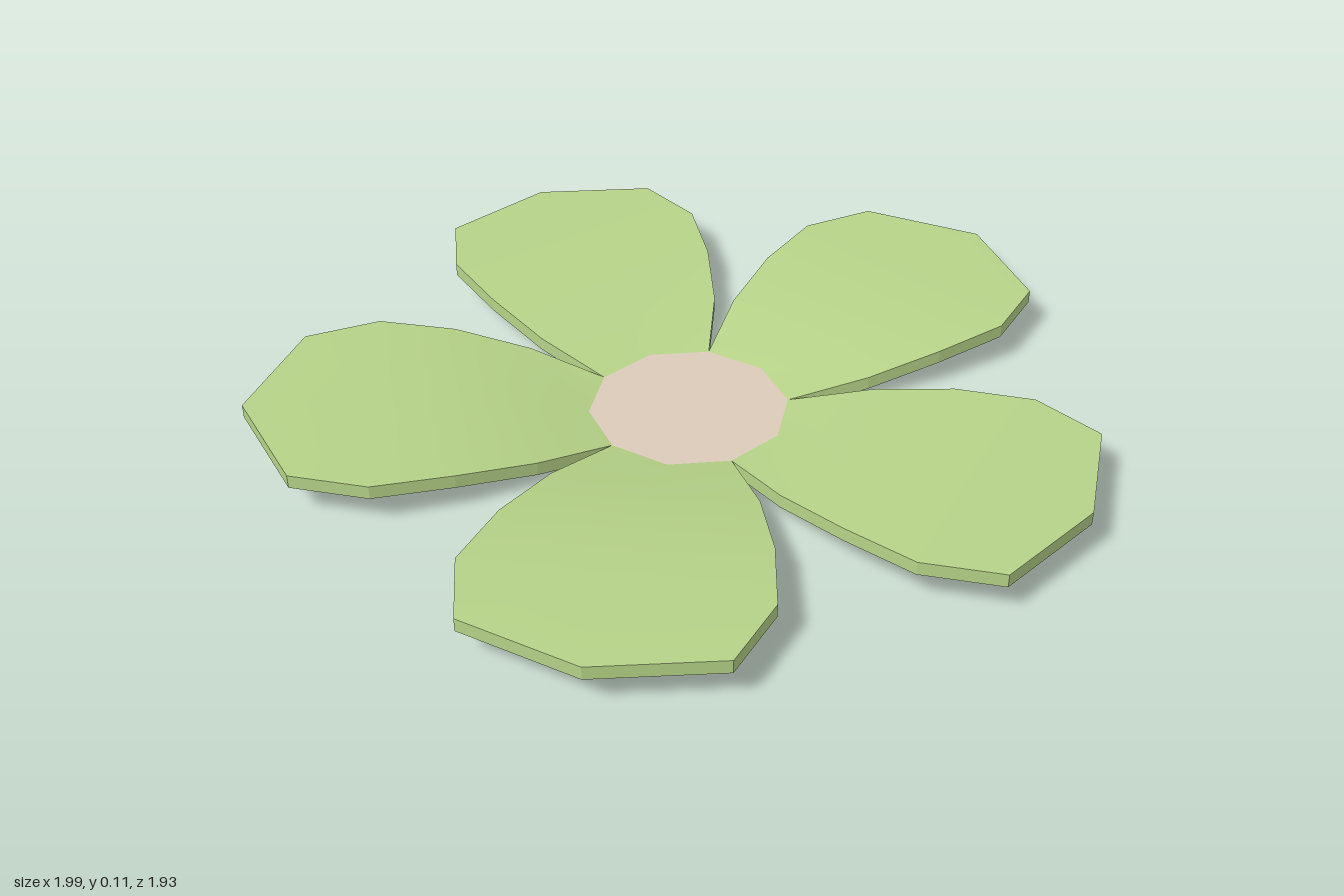
import * as THREE from 'three';

const THICK = 0.033;
// Petal stations: [edge distance, middle distance, half width, underside height]
const STATIONS = [
  [0.194, 0.24, 0.141, 0],
  [0.37, 0.38, 0.238, 0.034],
  [0.553, 0.555, 0.302, 0.061],
  [0.74, 0.75, 0.339, 0.073],
  [0.92, 1.02, 0.283, 0.075],
];

function geometryFrom(points, index) {
  const g = new THREE.BufferGeometry().setFromPoints(points);
  g.setIndex(index);
  return g;
}

// One petal pointing to -z: smooth upper and lower skins, faceted rim
function petal(tip, material) {
  const skin = (lift) => STATIONS.flatMap(([edge, mid, w, y], i) => {
    const m = i === STATIONS.length - 1 ? tip : mid;
    return [[-w, edge], [0, m], [w, edge]].map(([x, r]) => new THREE.Vector3(x, y + lift, -r));
  });
  const low = skin(0), high = skin(THICK);
  const up = [], down = [];
  for (let i = 0; i < STATIONS.length - 1; i++) {
    for (let j = 0; j < 2; j++) {
      const a = i * 3 + j, b = a + 1, c = a + 3, d = a + 4;
      up.push(a, b, d, a, d, c);
      down.push(a, d, b, a, c, d);
    }
  }

  // Rim runs out along the right edge, over the tip and back along the left
  const outline = [2, 5, 8, 11, 14, 13, 12, 9, 6, 3, 0];
  const rim = [];
  for (let k = 0; k < outline.length - 1; k++) {
    const p = outline[k], q = outline[k + 1];
    rim.push(low[p], low[q], high[q], low[p], high[q], high[p]);
  }

  const group = new THREE.Group();
  const parts = {
    petalTop: geometryFrom(high, up),
    petalUnderside: geometryFrom(low, down),
    petalRim: new THREE.BufferGeometry().setFromPoints(rim),
  };
  for (const [name, geometry] of Object.entries(parts)) {
    geometry.computeVertexNormals();
    const mesh = new THREE.Mesh(geometry, material);
    mesh.name = name;
    group.add(mesh);
  }
  return group;
}

export function createModel() {
  const model = new THREE.Group();
  model.name = 'flower';
  const green = new THREE.MeshStandardMaterial({ color: 0xb6d388 });
  const beige = new THREE.MeshStandardMaterial({ color: 0xdccbb9, flatShading: true });
  const centreZ = 0.05;

  // Ten-sided flower centre
  const centre = new THREE.Mesh(new THREE.CylinderGeometry(0.24, 0.24, THICK, 10), beige);
  centre.name = 'flowerCentre';
  centre.position.set(0, THICK / 2, centreZ);
  model.add(centre);

  // Five petals, starting at the back
  [1.02, 1.045, 1.0, 1.0, 1.045].forEach((tip, i) => {
    const p = petal(tip, green);
    p.name = `petal${i + 1}`;
    p.rotation.y = (i * Math.PI * 2) / 5;
    p.position.z = centreZ;
    model.add(p);
  });
  return model;
}
